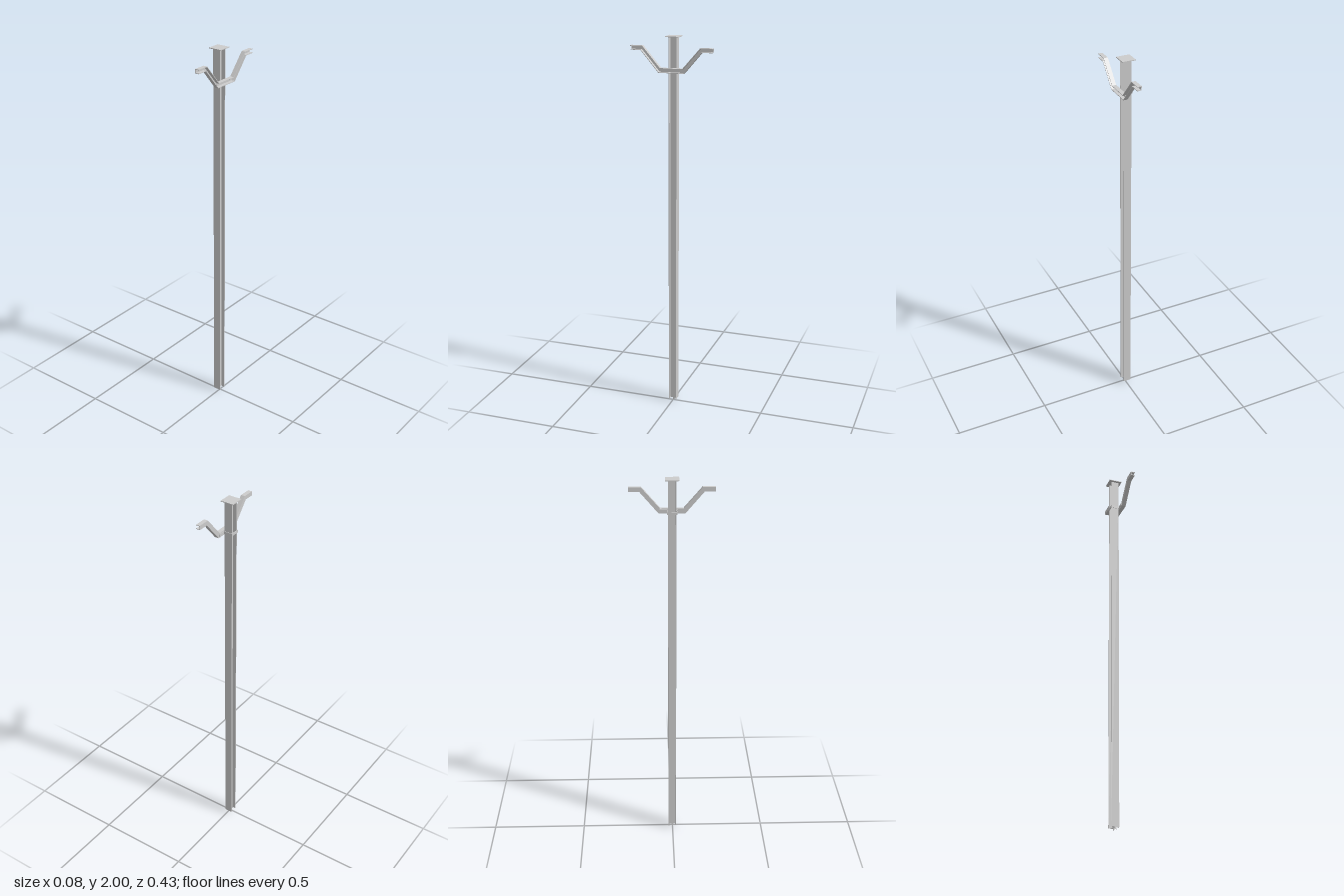
import * as THREE from 'three';

const steel = new THREE.MeshStandardMaterial({ color: 0xcccccc, flatShading: true, side: THREE.DoubleSide });
const POST_X = -0.005;

function add(group, name, geometry, x = 0, y = 0, z = 0) {
  const mesh = new THREE.Mesh(geometry, steel);
  mesh.name = name;
  mesh.position.set(x, y, z);
  group.add(mesh);
  return mesh;
}

// Mirrors a half edge of [z, y] points into a full left-to-right edge
function mirrored(half) {
  return [...half.map(([z, y]) => [-z, y]), ...[...half].reverse()];
}

// Plate between two bent edges, spanning x0 to x1
function bentPlate(upper, lower, x0, x1) {
  const outline = [...mirrored(upper), ...mirrored(lower).reverse()];
  const shape = new THREE.Shape(outline.map(([z, y]) => new THREE.Vector2(z, y)));
  const geometry = new THREE.ExtrudeGeometry(shape, { depth: x1 - x0, bevelEnabled: false });
  geometry.rotateY(-Math.PI / 2);
  geometry.translate(x1, 0, 0);
  return geometry;
}

export function createModel() {
  const model = new THREE.Group();
  model.name = 'utilityPost';
  model.position.z = -0.0015;

  // I-section post: two flanges joined by a web
  const post = new THREE.Group();
  post.name = 'post';
  model.add(post);
  const bottom = 0.012, top = 1.996, height = top - bottom, mid = (top + bottom) / 2;
  for (const side of [-1, 1]) {
    add(post, 'postFlange', new THREE.BoxGeometry(0.042, height, 0.004), POST_X, mid, side * 0.019);
  }
  add(post, 'postWeb', new THREE.BoxGeometry(0.003, height, 0.036), POST_X, mid, 0);
  add(post, 'footTab', new THREE.BoxGeometry(0.003, 0.013, 0.008), POST_X, 0.0065, 0);

  // Cap plate
  add(model, 'capPlate', new THREE.BoxGeometry(0.07, 0.004, 0.07), POST_X - 0.001, 1.998, 0);

  // Bent channel crossarm with its back against the post
  const arm = new THREE.Group();
  arm.name = 'crossarm';
  model.add(arm);
  const upper = [[0.2155, 1.95], [0.152, 1.95], [0.0585, 1.843]];
  const lower = [[0.2155, 1.928], [0.161, 1.928], [0.067, 1.819]];
  const t = 0.003;
  const inset = (edge, dy, dz) => edge.map(([z, y], i) => [i ? z + dz : z, y + dy]);
  add(arm, 'crossarmWeb', bentPlate(upper, lower, 0.018, 0.021));
  add(arm, 'upperFlange', bentPlate(upper, inset(upper, -t, 0.0013), 0.018, 0.04));
  add(arm, 'lowerFlange', bentPlate(inset(lower, t, -0.0013), lower, 0.018, 0.04));

  // Strap clamp wrapping the back of the post, with flared ears
  const clamp = new THREE.Group();
  clamp.name = 'clamp';
  model.add(clamp);
  const outer = [[0.064, 0.018], [0.064, 0.0155], [0.025, 0.0155], [0.025, -0.029]];
  const inner = [[0.064, 0.018], [0.0225, 0.018], [0.0225, -0.0265]];
  const outline = [...mirrored(outer), ...mirrored(inner).reverse()];
  const strap = new THREE.ExtrudeGeometry(
    new THREE.Shape(outline.map(([z, x]) => new THREE.Vector2(x, -z))),
    { depth: 0.014, bevelEnabled: false });
  strap.rotateX(-Math.PI / 2);
  add(clamp, 'strap', strap, 0, 1.824, 0);

  // Bolts through the ears and the crossarm web
  for (const side of [-1, 1]) {
    const bolt = add(clamp, 'bolt', new THREE.CylinderGeometry(0.004, 0.004, 0.01, 6), 0.0195, 1.831, side * 0.053);
    bolt.rotation.z = Math.PI / 2;
  }
  return model;
}
